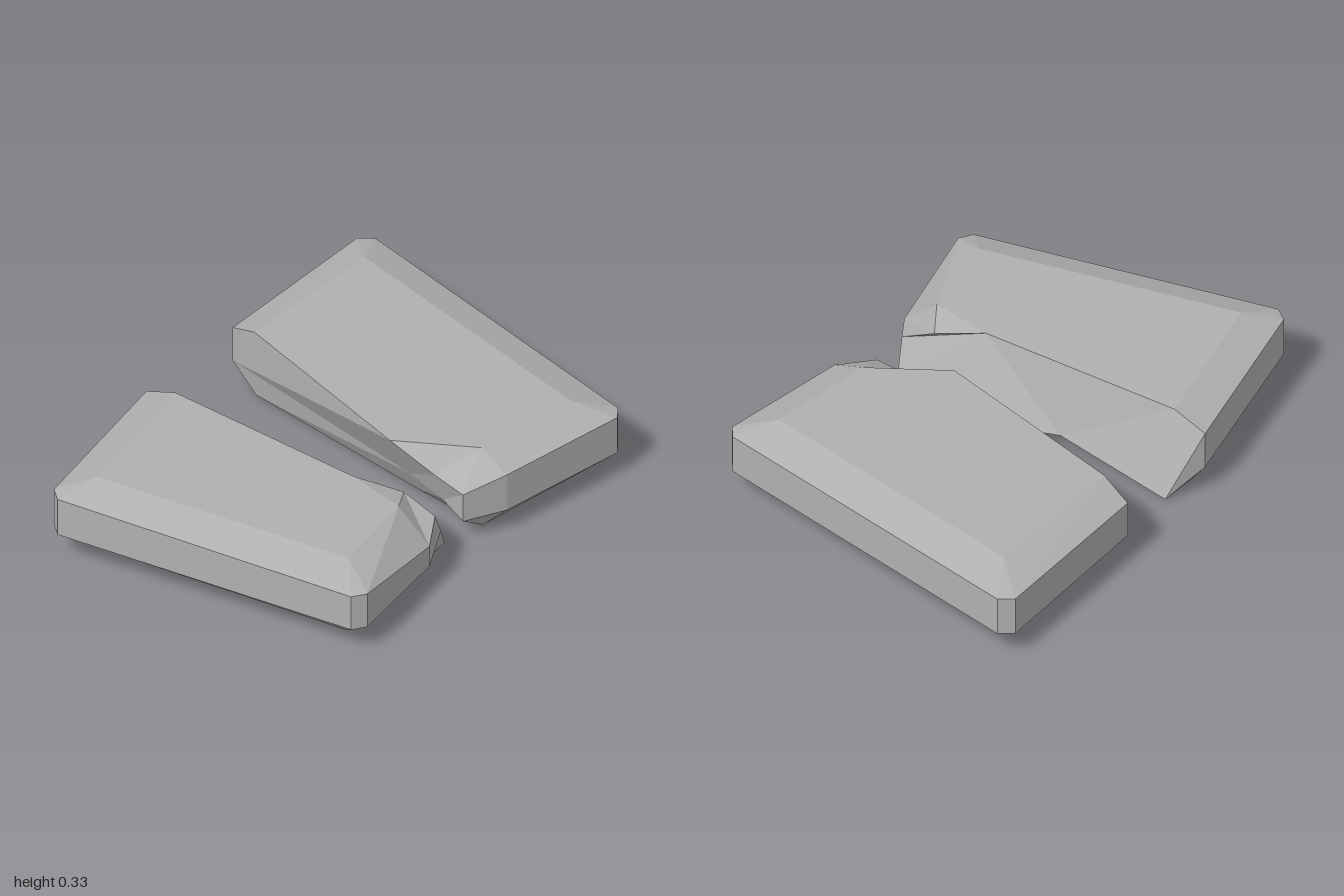
import * as THREE from 'three';

// Closed faceted solid from stacked rings, bottom to top; each ring runs counter-clockwise seen from above
function stackRings(rings) {
  const pos = [];
  const tri = (a, b, c) => pos.push(...a, ...b, ...c);
  const n = rings[0].length;
  for (let k = 0; k < rings.length - 1; k++) {
    const lo = rings[k], hi = rings[k + 1];
    for (let i = 0; i < n; i++) {
      const j = (i + 1) % n;
      tri(lo[i], lo[j], hi[j]);
      tri(lo[i], hi[j], hi[i]);
    }
  }
  // End caps
  const cap = (ring, flip) => {
    const pts = ring.filter((p, i) => p !== ring[(i + n - 1) % n]);
    const flat = pts.map(p => new THREE.Vector2(p[0], -p[2]));
    for (const [a, b, c] of THREE.ShapeUtils.triangulateShape(flat, [])) {
      if (flip) tri(pts[a], pts[c], pts[b]);
      else tri(pts[a], pts[b], pts[c]);
    }
  };
  cap(rings[0], true);
  cap(rings[rings.length - 1], false);
  const geo = new THREE.BufferGeometry();
  geo.setAttribute('position', new THREE.Float32BufferAttribute(pos, 3));
  geo.computeVertexNormals();
  return geo;
}

// Front half: bevelled slab whose broken edge slopes out towards the ground
function frontHalf() {
  const bl = [-0.38, 0.02, 0.86], br = [0.65, 0, 0.55];
  const tl = [-0.36, 0.33, 0.84], tr = [0.64, 0.312, 0.53];
  const topMid = [0.29, 0.312, 0.155], topLeft = [-0.54, 0.315, 0.25];
  const foot = [-0.605, 0.005, 0.12];
  return stackRings([
    [bl, bl, br, br, [0.56, 0, 0.13], [0.52, 0, -0.09], [-0.1, 0, 0.25], foot, [-0.6, 0.005, 0.26]],
    [[-0.465, 0.12, 0.96], [-0.41, 0.12, 0.995], [0.76, 0.105, 0.64], [0.79, 0.105, 0.585],
      [0.68, 0.1, 0.15], [0.555, 0.1, -0.035], [-0.1, 0.05, 0.12], foot, [-0.675, 0.105, 0.265]],
    [[-0.465, 0.28, 0.96], [-0.41, 0.28, 0.995], [0.76, 0.255, 0.64], [0.79, 0.255, 0.585],
      [0.68, 0.19, 0.15], [0.59, 0.22, 0.03], topMid, topLeft, [-0.675, 0.26, 0.265]],
    [tl, tl, tr, tr, [0.54, 0.312, 0.17], [0.46, 0.28, 0.062], topMid, topLeft, topLeft],
  ]);
}

// Back half: bevelled slab whose broken edge overhangs
function backHalf() {
  const footRight = [0.54, 0, -0.27], footBack = [0.54, 0, -0.77], footLeft = [-0.67, 0.01, -0.87];
  const topRight = [0.5, 0.315, -0.3], topBack = [0.53, 0.315, -0.74], topLeft = [-0.64, 0.315, -0.84];
  const lip = [0.23, 0.315, -0.095];
  const back = y => [[0.675, y, -0.835], [0.635, y, -0.88], [-0.745, y, -1], [-0.795, y, -0.955]];
  return stackRings([
    [[-0.62, 0.005, -0.25], [0.23, 0, -0.26], [0.42, 0, -0.268], footRight, footRight,
      footBack, footBack, footLeft, footLeft],
    [[-0.73, 0.11, -0.24], [0.23, 0.11, -0.2], [0.42, 0.1, -0.18], [0.57, 0.1, -0.135],
      [0.635, 0.1, -0.3], ...back(0.105)],
    [[-0.73, 0.26, -0.24], lip, [0.42, 0.23, -0.14], [0.57, 0.22, -0.135],
      [0.635, 0.26, -0.3], ...back(0.265)],
    [[-0.6, 0.315, -0.222], lip, topRight, topRight, topRight,
      topBack, topBack, topLeft, topLeft],
  ]);
}

export function createModel() {
  const stone = new THREE.MeshStandardMaterial({ color: 0xb0b0b0 });
  stone.name = 'grey stone';
  stone.flatShading = true;
  const group = new THREE.Group();
  group.name = 'brokenSlab';
  for (const [name, geo] of [['frontHalf', frontHalf()], ['backHalf', backHalf()]]) {
    const mesh = new THREE.Mesh(geo, stone);
    mesh.name = name;
    group.add(mesh);
  }
  return group;
}
